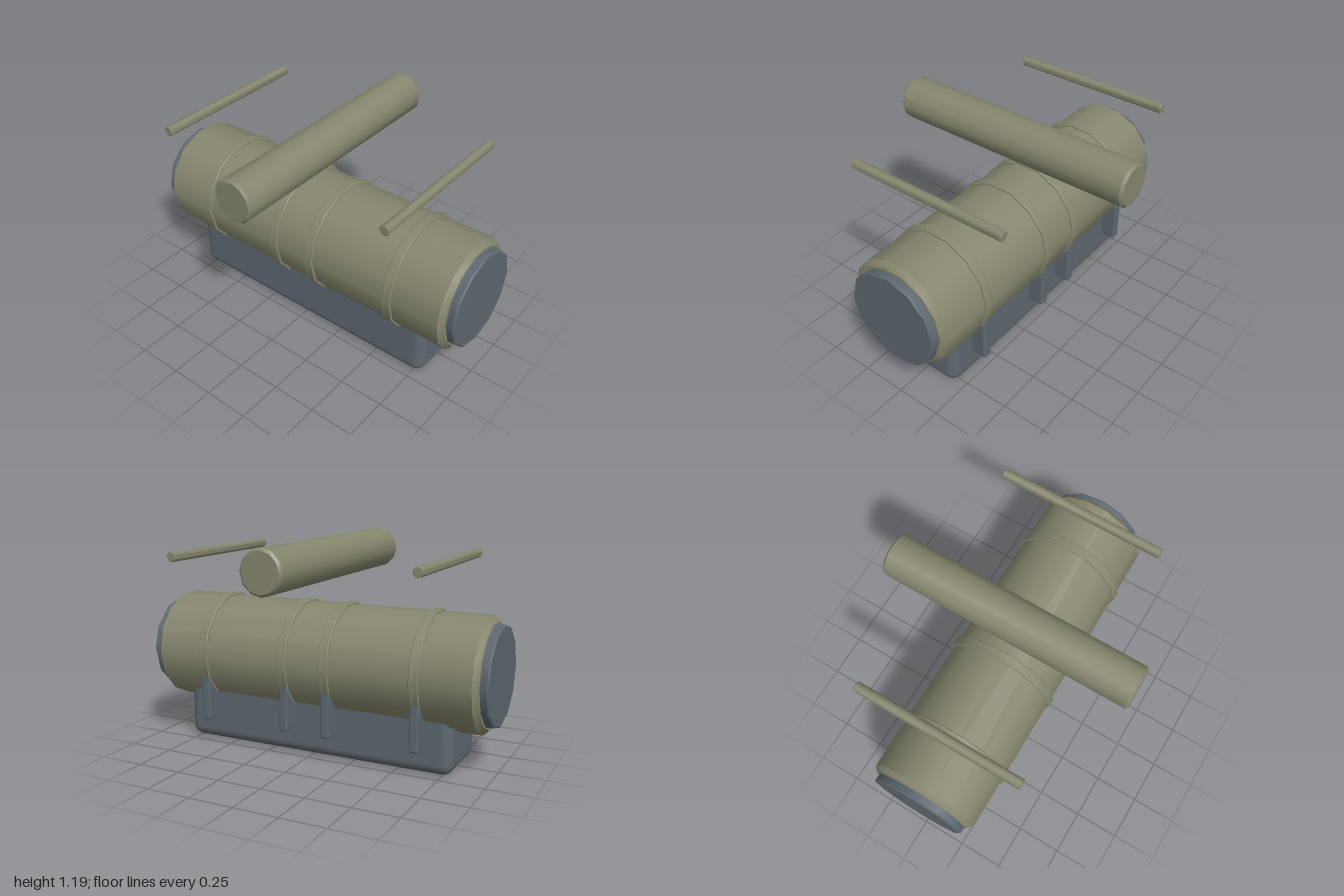
import * as THREE from 'three';
import { toCreasedNormals } from 'three/addons/utils/BufferGeometryUtils.js';
import { RoundedBoxGeometry } from 'three/addons/geometries/RoundedBoxGeometry.js';

const AXIS_Y = 0.517; // height of the main barrel's axis

// Solid turned shape with chamfered ends, lying along the x or z axis
function chamferedRod(radius, halfLength, chamfer, sides, axis) {
  const profile = [
    [0, -halfLength], [radius - chamfer, -halfLength], [radius, -halfLength + chamfer],
    [radius, halfLength - chamfer], [radius - chamfer, halfLength], [0, halfLength],
  ].map(([r, y]) => new THREE.Vector2(r, y));
  const geo = new THREE.LatheGeometry(profile, sides);
  if (axis === 'x') geo.rotateZ(-Math.PI / 2);
  else geo.rotateX(Math.PI / 2);
  return toCreasedNormals(geo, 0.65);
}

// Strap around the barrel, open underneath (3 of 14 facets missing)
function strapGeometry() {
  const step = (Math.PI * 2) / 14;
  const w = 0.026, inner = 0.3, outer = 0.325, c = 0.004;
  const profile = [
    [inner, -w], [outer - c, -w], [outer, -w + c], [outer, w - c], [outer - c, w], [inner, w],
  ].map(([r, y]) => new THREE.Vector2(r, y));
  const geo = new THREE.LatheGeometry(profile, 11, Math.PI / 2 + 1.5 * step, 11 * step);
  geo.rotateZ(-Math.PI / 2);
  return toCreasedNormals(geo, 0.65);
}

export function createModel() {
  const olive = new THREE.MeshStandardMaterial({ color: 0x86866e, side: THREE.DoubleSide });
  olive.name = 'olive';
  const slate = new THREE.MeshStandardMaterial({ color: 0x5e6871 });
  slate.name = 'slate';

  const model = new THREE.Group();
  model.name = 'barrelAssembly';
  const add = (name, geo, mat, x, y, z) => {
    const mesh = new THREE.Mesh(geo, mat);
    mesh.name = name;
    mesh.position.set(x, y, z);
    model.add(mesh);
  };

  // Main barrel and the dark core showing at both ends
  add('barrel', chamferedRod(0.312, 0.957, 0.028, 14, 'x'), olive, 0, AXIS_Y, 0);
  add('endCaps', chamferedRod(0.273, 1, 0.008, 12, 'x'), slate, 0, AXIS_Y, 0);

  // Base block the barrel rests in
  add('base', new RoundedBoxGeometry(1.61, 0.48, 0.42, 4, 0.06), slate, 0, 0.24, 0);

  // Straps, each with a bracket at the back
  const strap = strapGeometry();
  const bracket = new RoundedBoxGeometry(0.052, 0.31, 0.115, 2, 0.012);
  for (const x of [-0.63, -0.125, 0.125, 0.63]) {
    add('strap', strap, olive, x, AXIS_Y, 0);
    add('bracket', bracket, slate, x, 0.295, -0.24);
  }

  // Crosswise tube above, with a thin rod on either side
  add('crossTube', chamferedRod(0.12, 0.718, 0.013, 12, 'z'), olive, 0, 1.073, 0);
  const rod = chamferedRod(0.028, 0.473, 0.003, 10, 'z');
  for (const side of [-1, 1]) add('sideRod', rod, olive, side * 0.703, 1.09, 0);

  return model;
}
